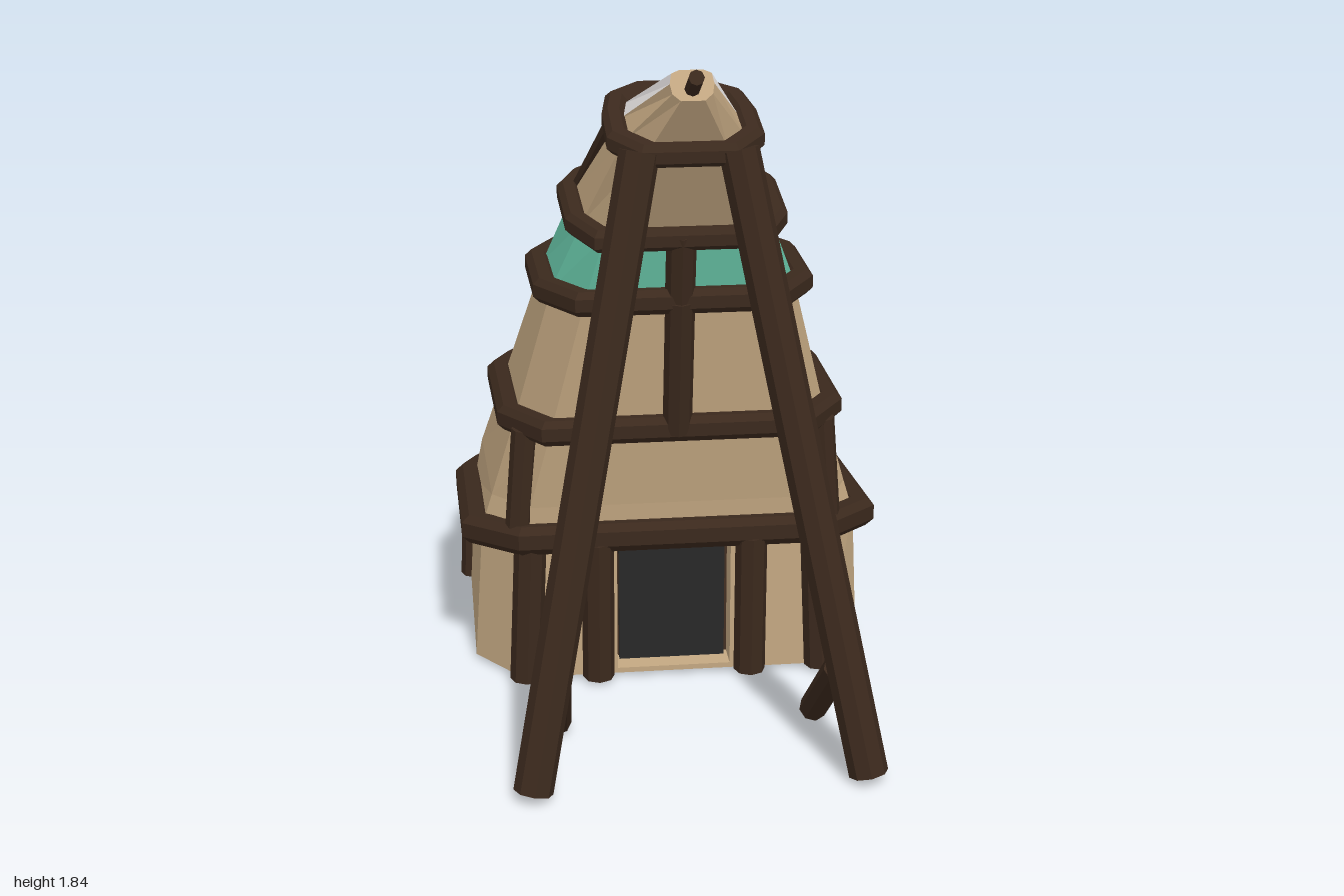
import * as THREE from 'three';

const mat = (color) => new THREE.MeshStandardMaterial({ color, flatShading: true, side: THREE.DoubleSide });
const WOOD = mat(0x3b291d), TAN = mat(0xc4a882), WHITE = mat(0xe9e5e4);
const RED = mat(0x7d0e0f), TEAL = mat(0x66c2a5), DARK = mat(0x282828);

// Cross-sections: height = y + slope * z; half outline [x, z] from front corner to back corner
const SECTIONS = [
  { y: 0, slope: 0, half: [[.43, .30], [.555, .14], [.555, -.47], [.5, -.56], [.24, -.95]] },
  { y: .387, slope: .145, half: [[.41, .30], [.53, .17], [.535, -.40], [.495, -.50], [.24, -.91]] },
  { y: .495, slope: .09, half: [[.40, .31], [.5, .17], [.51, -.38], [.47, -.46], [.235, -.84]] },
  { y: .739, slope: .077, half: [[.34, .35], [.43, .20], [.44, -.25], [.40, -.34], [.19, -.69]] },
  { y: 1.128, slope: .049, half: [[.25, .41], [.33, .27], [.335, -.03], [.29, -.12], [.16, -.365]] },
  { y: 1.376, slope: -.095, half: [[.20, .45], [.25, .34], [.255, .11], [.22, .03], [.11, -.075]] },
  { y: 1.705, slope: -.18, half: [[.10, .60], [.155, .53], [.155, .40], [.14, .31], [.08, .26]] },
  { y: 2.778, slope: -1.5, half: [[.03, .69], [.05, .68], [.055, .665], [.05, .65], [.03, .645]] },
];

// Full ten-sided outline, mirrored across x
const outline = (s) => [...s.half, ...s.half.map(([x, z]) => [-x, z]).reverse()];
const lift = (s, [x, z]) => [x, s.y + s.slope * z, z];

function meshFrom(name, positions, material) {
  const g = new THREE.BufferGeometry();
  g.setAttribute('position', new THREE.Float32BufferAttribute(positions, 3));
  g.computeVertexNormals();
  const m = new THREE.Mesh(g, material);
  m.name = name;
  return m;
}

const quad = (out, a, b, c, d) => out.push(...a, ...b, ...c, ...a, ...c, ...d);

// Round timber between two points
function timber(name, a, b, r, sides = 8) {
  const p = new THREE.Vector3(...a), q = new THREE.Vector3(...b);
  const m = new THREE.Mesh(new THREE.CylinderGeometry(r, r, p.distanceTo(q), sides), WOOD);
  m.position.copy(p).lerp(q, .5);
  m.quaternion.setFromUnitVectors(new THREE.Vector3(0, 1, 0), q.sub(p).normalize());
  m.name = name;
  return m;
}

// Chamfered beam swept round a section with mitred corners
function hoop(name, s, w, h) {
  const pts = outline(s), n = pts.length;
  const normal = (a, b) => {
    const dx = b[0] - a[0], dz = b[1] - a[1], l = Math.hypot(dx, dz);
    return [-dz / l, dx / l];
  };
  const c = .5;
  const profile = [[1, -c], [1, c], [c, 1], [-c, 1], [-1, c], [-1, -c], [-c, -1], [c, -1]];
  const loops = pts.map((p, i) => {
    const n0 = normal(pts[(i + n - 1) % n], p), n1 = normal(p, pts[(i + 1) % n]);
    const k = 1 + n0[0] * n1[0] + n0[1] * n1[1];
    const mx = (n0[0] + n1[0]) / k, mz = (n0[1] + n1[1]) / k;
    return profile.map(([u, v]) => {
      const o = .015 + u * w;
      const q = lift(s, [p[0] + mx * o, p[1] + mz * o]);
      q[1] += v * h;
      return q;
    });
  });
  const out = [];
  for (let i = 0; i < n; i++) for (let j = 0; j < 8; j++) {
    const A = loops[i], B = loops[(i + 1) % n], k = (j + 1) % 8;
    quad(out, A[j], B[j], B[k], A[k]);
  }
  return meshFrom(name, out, WOOD);
}

// Cloth for each panel: row counts up from the ground, side from front corner (0) to back (4)
function clothFor(row, side) {
  if (side === 2 || side === 4) return WHITE;
  if (side === 3 && (row === 1 || row === 2 || row === 4)) return RED;
  if (row === 4) return TEAL;
  return TAN;
}

function buildCover() {
  const cover = new THREE.Group();
  cover.name = 'clothCover';
  const names = new Map([[TAN, 'tanCloth'], [WHITE, 'whiteCloth'], [RED, 'redCloth'], [TEAL, 'tealCloth']]);
  const bins = new Map([...names.keys()].map((m) => [m, []]));
  for (let r = 0; r < SECTIONS.length - 1; r++) {
    const lo = outline(SECTIONS[r]).map((p) => lift(SECTIONS[r], p));
    const hi = outline(SECTIONS[r + 1]).map((p) => lift(SECTIONS[r + 1], p));
    for (let i = 0; i < 10; i++) {
      if (r === 0 && i === 9) continue; // doorway wall goes here
      const j = (i + 1) % 10, side = i === 9 ? -1 : Math.min(i, 8 - i);
      quad(bins.get(clothFor(r, side)), lo[i], lo[j], hi[j], hi[i]);
    }
  }
  for (const [m, pos] of bins) cover.add(meshFrom(names.get(m), pos, m));
  return cover;
}

// Flat cap over a section
function cap(name, s, material, up) {
  const p = outline(s).map((q) => lift(s, q)), out = [];
  for (let i = 1; i < p.length - 1; i++) out.push(...p[0], ...(up ? p[i] : p[i + 1]), ...(up ? p[i + 1] : p[i]));
  return meshFrom(name, out, material);
}

export function createModel() {
  const root = new THREE.Group();
  root.name = 'leaningTent';
  root.add(buildCover());
  root.add(cap('floor', SECTIONS[0], WOOD, false), cap('tipCap', SECTIONS[7], TAN, true));

  // Front wall with a recessed doorway
  const wall = new THREE.Shape([[-.43, 0], [.43, 0], [.41, .43], [-.41, .43]].map((p) => new THREE.Vector2(...p)));
  wall.holes.push(new THREE.Path([[-.16, .015], [-.16, .41], [.16, .41], [.16, .015]].map((p) => new THREE.Vector2(...p))));
  const front = new THREE.Mesh(new THREE.ExtrudeGeometry(wall, { depth: .08, bevelEnabled: false }), TAN);
  front.position.z = .22;
  front.name = 'frontWall';
  const door = new THREE.Mesh(new THREE.BoxGeometry(.30, .40, .02), DARK);
  door.position.set(0, .215, .235);
  door.name = 'doorway';
  root.add(front, door);

  // Hoops round the cover
  [[1, .042, .042], [3, .036, .036], [4, .034, .034], [5, .03, .03], [6, .03, .03]]
    .forEach(([i, w, h], k) => root.add(hoop(`hoop${k + 1}`, SECTIONS[i], w, h)));

  // Paired timbers
  for (const [side, s] of [['left', 1], ['right', -1]]) {
    const add = (name, a, b, r) =>
      root.add(timber(`${side}${name}`, [a[0] * s, a[1], a[2]], [b[0] * s, b[1], b[2]], r));
    add('DoorPost', [.215, 0, .31], [.215, .42, .32], .045);
    add('FrontCornerPost', [.42, 0, .30], [.40, .43, .30], .045);
    add('UpperCornerPost', [.435, .43, .29], [.41, .75, .29], .036);
    add('SidePost', [.545, 0, -.42], [.53, .32, -.42], .04);
    add('BackPost', [.24, 0, -.963], [.24, .32, -.963], .037);
    add('LowerRib', [.34, .30, -.76], [.285, .69, -.655], .034);
    add('UpperRib', [.235, 1.38, .10], [.15, 1.64, .34], .024);
    add('SupportLeg', [.435, .01, .945], [.125, 1.6, .615], .052);
    add('LegBrace', [.365, .27, .85], [.35, .015, .59], .038);
  }

  // Centre ribs, front and back
  root.add(
    timber('frontLowerRib', [0, .76, .37], [0, 1.15, .43], .04),
    timber('frontUpperRib', [0, 1.15, .425], [0, 1.34, .46], .04),
    timber('backLowerRib', [0, .69, -.69], [0, 1.11, -.37], .034),
    timber('backUpperRib', [0, 1.11, -.365], [0, 1.385, -.08], .022),
    timber('tipPole', [0, 1.74, .62], [0, 1.815, .755], .02),
  );
  return root;
}
